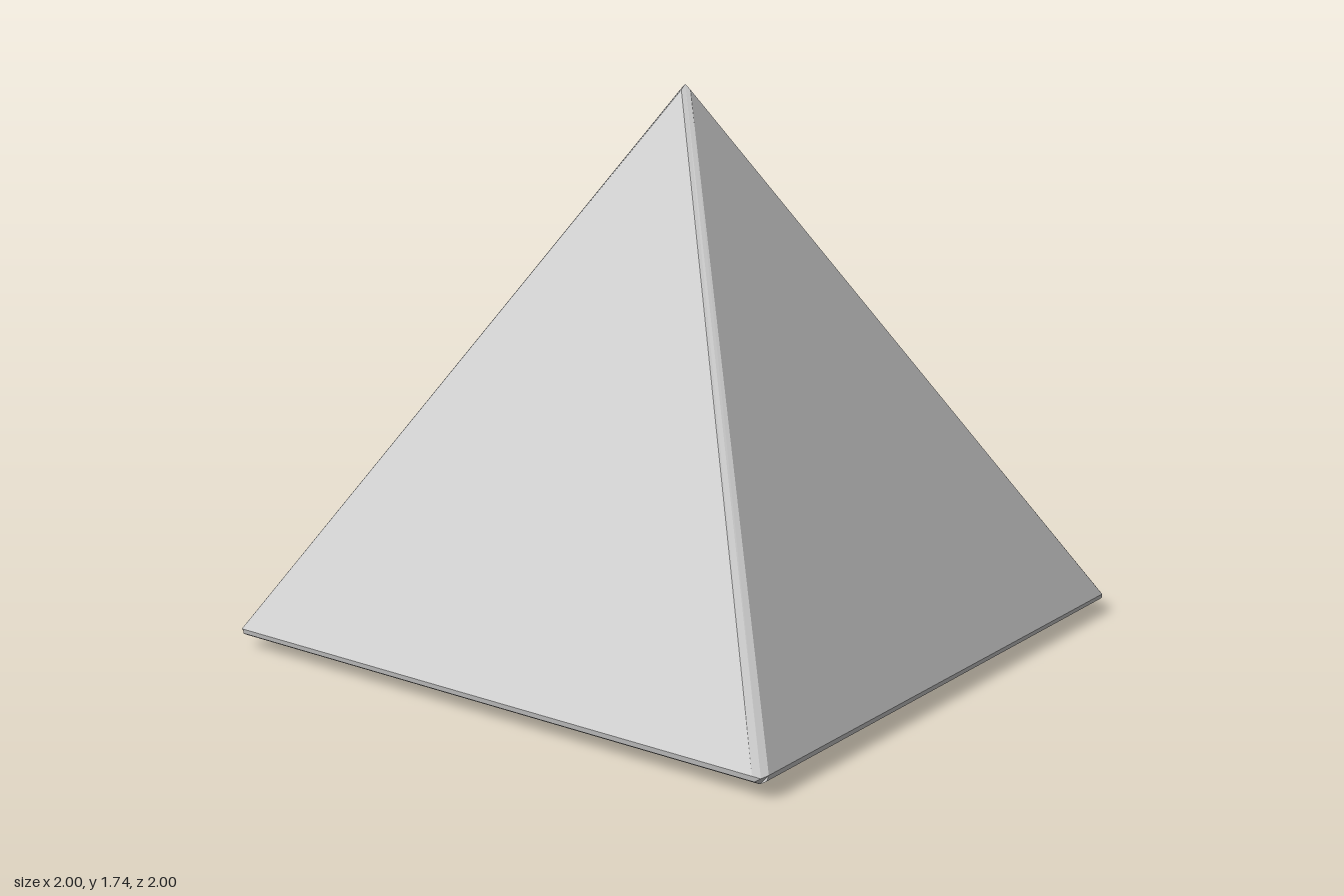
import * as THREE from 'three';

const material = new THREE.MeshStandardMaterial({
  color: 0xcccccc, flatShading: true, side: THREE.DoubleSide,
});

// Polygons given as counter-clockwise corner loops, fanned into flat triangles
function facets(name, polygons) {
  const pos = [];
  for (const p of polygons) {
    for (let i = 1; i < p.length - 1; i++) pos.push(...p[0], ...p[i], ...p[i + 1]);
  }
  const g = new THREE.BufferGeometry();
  g.setAttribute('position', new THREE.Float32BufferAttribute(pos, 3));
  g.computeVertexNormals();
  const mesh = new THREE.Mesh(g, material);
  mesh.name = name;
  return mesh;
}

export function createModel() {
  const group = new THREE.Group();
  group.name = 'hollowPyramid';

  const base = 0.98, baseY = 0.035; // underside half width and height
  const hole = 0.18, holeAt = -0.76; // opening half width and centre (x and z)

  // Shared corners of one quarter, facing +z
  const left = [-0.97, 0.06, 1], right = [0.97, 0.06, 1];
  const tip = [0, 1.72, 0.02], sideTip = [0.02, 1.72, 0];
  const sideCorner = [1, 0.06, 0.97];
  const ridge = [0.99, 0.055, 0.99], ridgeL = [-0.99, 0.055, 0.99];
  const apex = [0, 1.738, 0];
  const lipL = [-0.975, 0.045, 0.997], lipR = [0.975, 0.045, 0.997];
  const footL = [-base, baseY, base], footR = [base, baseY, base];

  // Four sloping panels with bevelled ridges and lower edges
  for (let i = 0; i < 4; i++) {
    const side = new THREE.Group();
    side.name = 'side' + (i + 1);
    side.add(
      facets('panel', [[left, right, tip]]),
      facets('ridgeBevel', [
        [right, ridge, apex, tip],
        [ridge, sideCorner, sideTip, apex],
      ]),
      facets('lowerBevel', [
        [lipL, lipR, right, left],
        [footL, footR, lipR, lipL],
        [lipR, footR, ridge, right],
        [footL, lipL, left, ridgeL],
      ]),
    );
    side.rotation.y = i * Math.PI / 2;
    group.add(side);
  }

  // Underside with a square opening near one corner
  const square = (path, c, h) => path.moveTo(c - h, c - h).lineTo(c + h, c - h)
    .lineTo(c + h, c + h).lineTo(c - h, c + h).closePath();
  const floor = square(new THREE.Shape(), 0, base);
  floor.holes.push(square(new THREE.Path(), holeAt, hole));
  const floorMesh = new THREE.Mesh(new THREE.ShapeGeometry(floor), material);
  floorMesh.name = 'underside';
  floorMesh.rotation.x = Math.PI / 2;
  floorMesh.position.y = baseY;
  group.add(floorMesh);

  // Short square neck around the opening, flared where it meets the underside
  const profile = [[hole, 0], [hole, 0.024], [0.21, baseY]]
    .map(([r, y]) => new THREE.Vector2(r * Math.SQRT2, y));
  const neck = new THREE.Mesh(new THREE.LatheGeometry(profile, 4, Math.PI / 4), material);
  neck.name = 'openingNeck';
  neck.position.set(holeAt, 0, holeAt);
  group.add(neck);

  return group;
}
